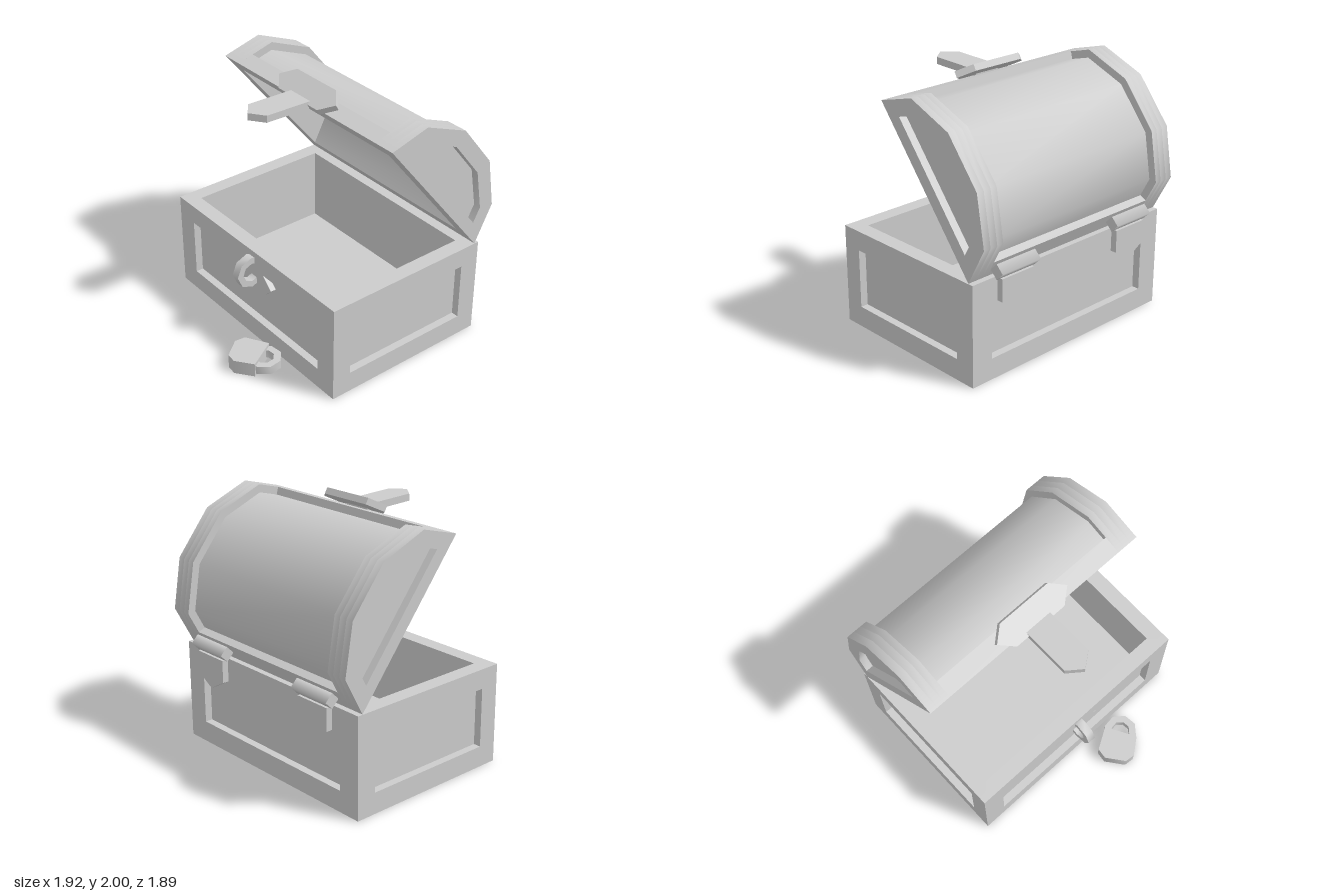
import * as THREE from 'three';
import { toCreasedNormals } from 'three/addons/utils/BufferGeometryUtils.js';

const grey = new THREE.MeshStandardMaterial({ color: 0xcccccc });

function add(parent, name, geometry, x = 0, y = 0, z = 0) {
  const mesh = new THREE.Mesh(geometry, grey);
  mesh.name = name;
  mesh.position.set(x, y, z);
  parent.add(mesh);
  return mesh;
}

// Extrusion of a counter-clockwise polygon (with an optional polygonal hole) along +z
function extrude(points, depth, hole) {
  const toVectors = (list) => list.map(([a, b]) => new THREE.Vector2(a, b));
  const shape = new THREE.Shape(toVectors(points));
  if (hole) shape.holes.push(new THREE.Path(toVectors(hole)));
  return new THREE.ExtrudeGeometry(shape, { depth, bevelEnabled: false });
}

// Polygon given as (z, y), spanning x0 to x1
const sideways = (points, x0, x1, hole) =>
  extrude(points, x1 - x0, hole).rotateY(-Math.PI / 2).translate(x1, 0, 0);

// Polygon given as (x, z), spanning y0 to y1
const upward = (points, y0, y1, hole) =>
  extrude(points, y1 - y0, hole).rotateX(Math.PI / 2).translate(0, y1, 0);

const rect = (a0, b0, a1, b1) => [[a0, b0], [a1, b0], [a1, b1], [a0, b1]];

const hexagon = (halfWidth, halfFlat, halfHeight) => [
  [-halfWidth, 0], [-halfFlat, -halfHeight], [halfFlat, -halfHeight],
  [halfWidth, 0], [halfFlat, halfHeight], [-halfFlat, halfHeight],
];

// Eight-sided ring of flat bar stock, centred on the origin with its axis along z
function barRing(outerRadius, innerRadius, width) {
  const octagon = (r) => Array.from({ length: 8 }, (_, i) =>
    [r * Math.cos(i * Math.PI / 4), r * Math.sin(i * Math.PI / 4)]);
  const ring = extrude(octagon(outerRadius), width, octagon(innerRadius));
  return toCreasedNormals(ring.translate(0, 0, -width / 2), 0.8);
}

function buildBox() {
  const box = new THREE.Group();
  box.name = 'box';
  const H = 0.785, F = 0.165;
  // Inner tub, with its floor raised above the hollow base
  add(box, 'tubWalls', upward(rect(-0.9, -0.775, 0.9, 0.495), F, H, rect(-0.84, -0.715, 0.84, 0.435)));
  add(box, 'floor', new THREE.BoxGeometry(1.68, 0.02, 1.15), 0, F + 0.01, -0.14);
  // Raised frames around the recessed panels
  const longFrame = extrude(rect(-0.96, 0, 0.96, H), 0.06, rect(-0.78, F, 0.78, 0.63));
  add(box, 'frontFrame', longFrame, 0, 0, 0.495);
  add(box, 'backFrame', longFrame, 0, 0, -0.835);
  const endFrame = sideways(rect(-0.775, 0, 0.495, H), 0, 0.06, rect(-0.675, F, 0.4, 0.63));
  add(box, 'leftFrame', endFrame, 0.9);
  add(box, 'rightFrame', endFrame, -0.96);
  // Staple for the padlock, on its plate
  add(box, 'staplePlate', extrude(hexagon(0.21, 0.105, 0.1), 0.045), 0, 0.52, 0.495);
  add(box, 'staple', barRing(0.13, 0.078, 0.066).rotateY(Math.PI / 2), 0, 0.615, 0.58);
  return box;
}

function buildLid() {
  const lid = new THREE.Group();
  lid.name = 'lid';
  const W = 1.384;
  // Profiles in the closed position, running from the front to the hinge at z = 0
  const mirror = (half) => [...half.map(([a, b]) => [W - a, b]), ...[...half].reverse()];
  const outer = mirror([[0, 0], [0.13, 0.3], [0.475, 0.493]]);
  const middle = mirror([[0.065, 0], [0.177, 0.257], [0.49, 0.433]]);
  const inner = mirror([[0.13, 0], [0.224, 0.215], [0.506, 0.373]]);
  const panel = mirror([[0.174, 0.098], [0.222, 0.213], [0.504, 0.367]]);
  const arch = (a, b) => [...a, ...[...b].reverse()];
  const smooth = (geometry) => toCreasedNormals(geometry, 0.8);

  // Smooth curved shell
  add(lid, 'lidShell', smooth(sideways(arch(middle, inner), -0.84, 0.84)));
  // Raised end bands with recessed panels
  const band = smooth(sideways(arch(outer, middle), -0.0275, 0.0275));
  const plate = smooth(sideways(outer, -0.03, 0.03));
  const frame = smooth(sideways(outer, -0.03, 0.03, panel));
  for (const [side, s] of [['left', 1], ['right', -1]]) {
    add(lid, side + 'LidBand', band, s * 0.8125);
    add(lid, side + 'LidPanel', plate, s * 0.87);
    add(lid, side + 'LidFrame', frame, s * 0.93);
  }
  // Long rails at the hinge and the front
  const rail = [[0, 0], [0.065, 0], [0.11, 0.102], [0.055, 0.126]];
  add(lid, 'backRail', sideways(rail, -0.785, 0.785));
  add(lid, 'frontRail', sideways(rail.map(([a, b]) => [W - a, b]), -0.785, 0.785));

  lid.rotation.x = -0.895;
  lid.position.set(0, 0.788, -0.795);
  return lid;
}

function buildHasp() {
  const hasp = new THREE.Group();
  hasp.name = 'hasp';
  const plate = add(hasp, 'haspPlate', upward(hexagon(0.325, 0.22, 0.1), -0.025, 0.025), 0, 1.928, 0.02);
  plate.rotation.x = 0.53;
  const outline = [[-0.11, 0.04], [0.11, 0.04], [0.11, 0.47], [0, 0.555], [-0.11, 0.47]];
  const arm = add(hasp, 'haspArm', upward(outline, -0.0275, 0.0275), 0, 1.886);
  arm.rotation.x = -0.025;
  return hasp;
}

function buildHinge(name, x) {
  const hinge = new THREE.Group();
  hinge.name = name;
  hinge.position.x = x;
  add(hinge, 'hingeBarrel', new THREE.CylinderGeometry(0.058, 0.058, 0.365, 4).rotateZ(Math.PI / 2), 0, 0.842, -0.877);
  const leaf = [[-0.15, 0.785], [-0.15, 0.61], [0, 0.525], [0.15, 0.61], [0.15, 0.785]];
  add(hinge, 'hingeLeaf', extrude(leaf, 0.05), 0, 0, -0.9);
  return hinge;
}

function buildPadlock() {
  const padlock = new THREE.Group();
  padlock.name = 'padlock';
  const body = [[0.275, 0.615], [0.105, 0.715], [0.095, 0.8], [0.2, 0.935], [0.28, 0.943], [0.408, 0.845]];
  add(padlock, 'padlockBody', toCreasedNormals(upward(body, 0, 0.115), 1.2));
  const shackle = add(padlock, 'shackle', barRing(0.132, 0.075, 0.07).rotateX(Math.PI / 2), 0.352, 0.055, 0.717);
  shackle.rotation.y = 0.51;
  return padlock;
}

export function createModel() {
  const chest = new THREE.Group();
  chest.name = 'chest';
  chest.add(
    buildBox(), buildLid(), buildHasp(),
    buildHinge('leftHinge', 0.595), buildHinge('rightHinge', -0.567),
    buildPadlock(),
  );
  return chest;
}
